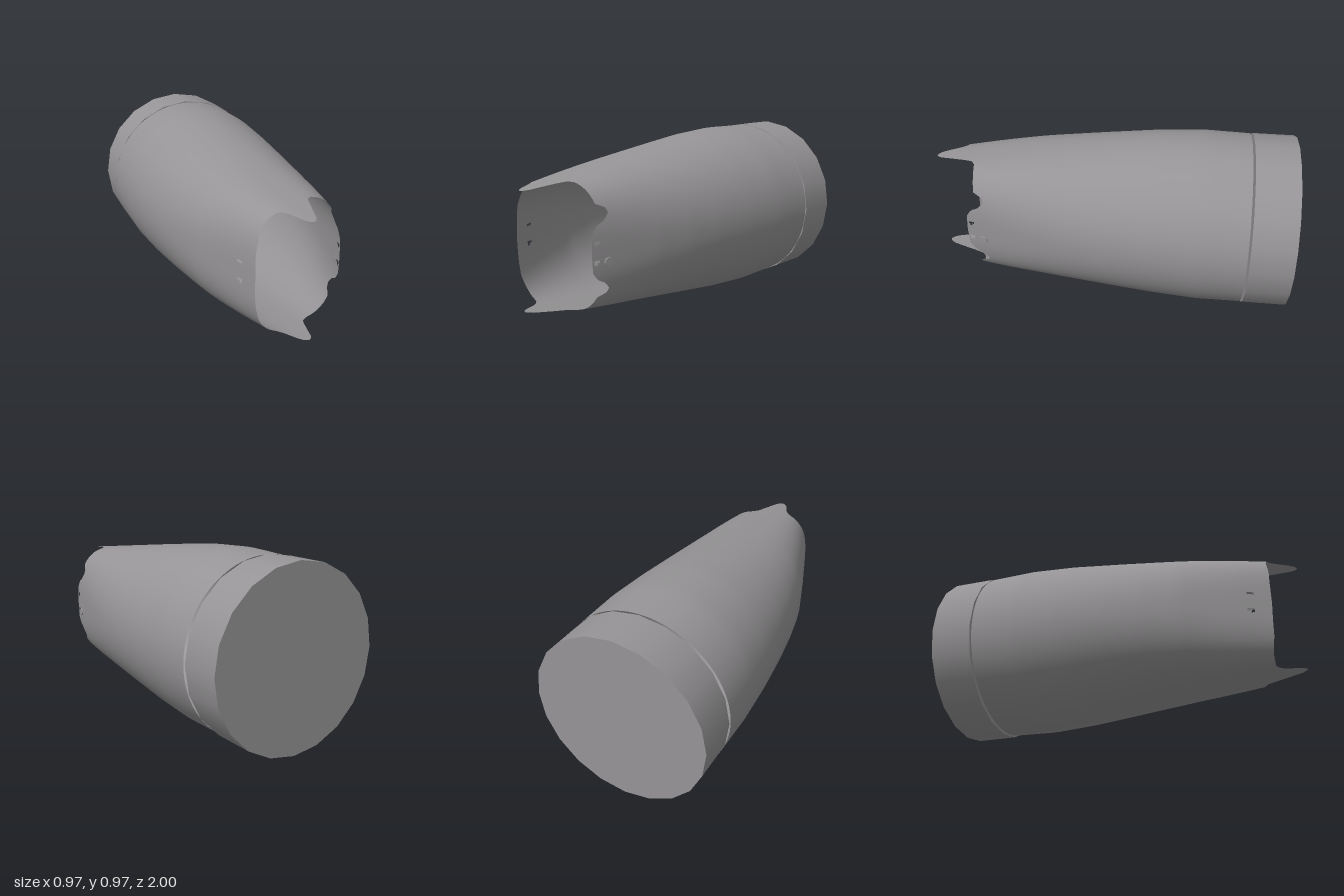
import * as THREE from 'three';

const CY = 0.487, BACK = -0.752;

// Shell stations: z, left half-extent x, right half-extent x, half height, roundness exponent
const STATIONS = [
  [-0.76, -0.483, 0.483, 0.475, 2],
  [-0.5, -0.483, 0.478, 0.483, 2],
  [-0.25, -0.47, 0.46, 0.468, 2],
  [0, -0.445, 0.435, 0.438, 2.05],
  [0.2, -0.415, 0.407, 0.412, 2.15],
  [0.4, -0.373, 0.37, 0.385, 2.35],
  [0.7, -0.272, 0.303, 0.345, 2.85],
  [0.86, -0.215, 0.265, 0.324, 3.1],
  [1.02, -0.17, 0.235, 0.303, 3.2],
];

// Scalloped front edge: angle in degrees from +x, z (mirrored top to bottom)
const EDGE = [
  [0, 0.785], [20, 0.78], [27, 0.755], [30, 0.71], [35, 0.68], [39.5, 0.685], [45, 0.735],
  [60, 0.745], [73, 0.755], [78, 0.78], [83, 0.88], [88, 0.975], [93.5, 1], [99, 0.975],
  [106, 0.87], [111, 0.845], [125, 0.845], [140, 0.86], [180, 0.865],
];

// Linear lookup in a table whose first column is the key
function lookup(table, key) {
  let i = 0;
  while (i < table.length - 2 && key > table[i + 1][0]) i++;
  const a = table[i], b = table[i + 1];
  const t = THREE.MathUtils.clamp((key - a[0]) / (b[0] - a[0]), 0, 1);
  return a.map((v, k) => v + (b[k] - v) * t);
}

function shellPoint(deg, z) {
  const [, left, right, h, n] = lookup(STATIONS, z);
  const c = Math.cos(deg * Math.PI / 180), s = Math.sin(deg * Math.PI / 180);
  const w = (right - left) / 2;
  const r = Math.pow(Math.pow(Math.abs(c) / w, n) + Math.pow(Math.abs(s) / h, n), -1 / n);
  return [(left + right) / 2 + r * c, CY + r * s, z];
}

// Tapered sleeve from round back to squarish scalloped front, with strap holes
function shellGeometry() {
  const sides = 144, rows = 56, pos = [], index = [];
  for (let j = 0; j <= rows; j++) {
    const u = j / rows, t = 1 - Math.pow(1 - u, 1.5);
    for (let i = 0; i < sides; i++) {
      const deg = i * 360 / sides;
      const edge = lookup(EDGE, deg > 180 ? 360 - deg : deg)[1];
      pos.push(...shellPoint(deg, BACK + (edge - BACK) * t));
    }
  }
  const inHole = (corners) => {
    const mean = (k) => corners.reduce((sum, v) => sum + pos[v * 3 + k], 0) / 4;
    const x = mean(0), y = mean(1), z = mean(2);
    return Math.abs(x) > 0.2 && [0.443, 0.54].some((hy) => Math.hypot(y - hy, z - 0.76) < 0.013);
  };
  for (let j = 0; j < rows; j++) {
    for (let i = 0; i < sides; i++) {
      const a = j * sides + i, b = j * sides + (i + 1) % sides;
      const c = b + sides, d = a + sides;
      if (!inHole([a, b, c, d])) index.push(a, b, c, a, c, d);
    }
  }
  const g = new THREE.BufferGeometry();
  g.setAttribute('position', new THREE.Float32BufferAttribute(pos, 3));
  g.setIndex(index);
  g.computeVertexNormals();
  return g;
}

export function createModel() {
  const model = new THREE.Group();
  model.name = 'forearmGuard';
  const grey = new THREE.MeshStandardMaterial({ color: 0x969496, side: THREE.DoubleSide });
  grey.name = 'grey';

  const add = (name, geometry) => {
    const mesh = new THREE.Mesh(geometry, grey);
    mesh.name = name;
    model.add(mesh);
    return mesh;
  };

  add('sleeve', shellGeometry());

  // Separate closed ring behind the sleeve
  const cap = add('endCap', new THREE.CylinderGeometry(0.483, 0.483, 0.235, 20));
  cap.rotation.x = Math.PI / 2;
  cap.position.set(0, 0.485, -0.8825);

  // Small stud beside the strap holes
  const [x, y, z] = shellPoint(-10, 0.695);
  const stud = add('stud', new THREE.CylinderGeometry(0.022, 0.024, 0.008, 20));
  stud.rotation.z = -Math.PI / 2;
  const holder = new THREE.Group();
  holder.name = 'studMount';
  holder.position.set(x + 0.002, y, z);
  holder.rotation.y = -0.22;
  holder.add(stud);
  model.add(holder);

  return model;
}
